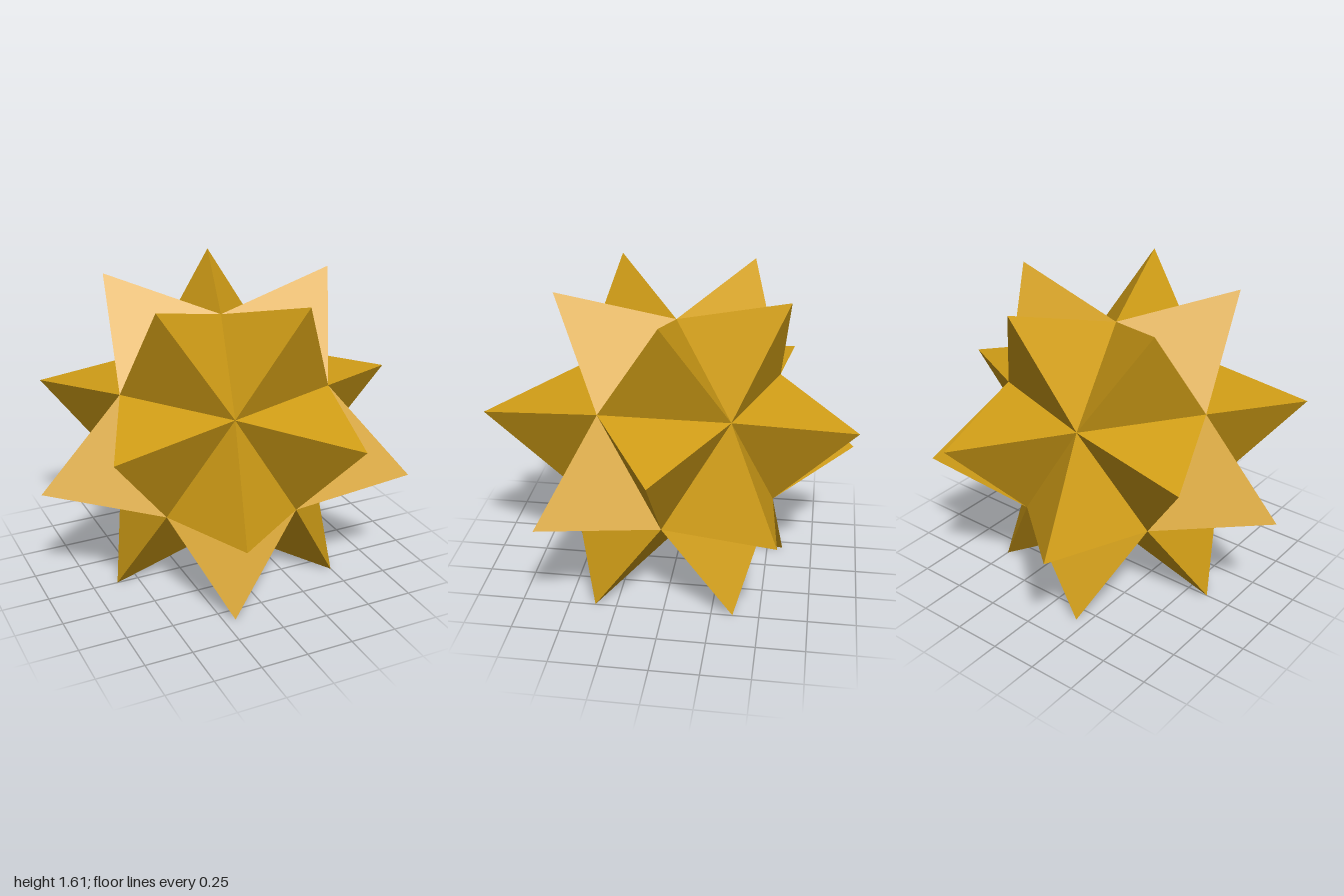
import * as THREE from 'three';

const CENTRE_Y = 0.807;
const CORE_R = 0.626;   // radius of the twenty-faced core
const TIP_R = 1.015;    // distance of every spike tip from the centre

// Three-sided open pyramid standing on one core face
function spikeGeometry(a, b, c) {
  const tip = a.clone().add(b).add(c).setLength(TIP_R);
  const normal = b.clone().sub(a).cross(c.clone().sub(a));
  const base = normal.dot(tip) > 0 ? [a, b, c] : [a, c, b];
  const points = [];
  for (let i = 0; i < 3; i++) points.push(base[i], base[(i + 1) % 3], tip);
  const geometry = new THREE.BufferGeometry().setFromPoints(points);
  geometry.computeVertexNormals();
  return geometry;
}

export function createModel() {
  const model = new THREE.Group();
  model.name = 'spikedStar';
  const gold = new THREE.MeshStandardMaterial({ color: 0xd4a017, flatShading: true });

  // Core corners: two poles and two staggered rings of five
  const ringY = CORE_R / Math.sqrt(5);
  const ringR = 2 * ringY;
  const corner = (step, y) => {
    const angle = step * Math.PI / 5;
    return new THREE.Vector3(ringR * Math.cos(angle), y, ringR * Math.sin(angle));
  };
  const upper = (i) => corner(2 * i + 1, ringY);
  const lower = (i) => corner(2 * i, -ringY);
  const top = new THREE.Vector3(0, CORE_R, 0);
  const bottom = new THREE.Vector3(0, -CORE_R, 0);

  const addSpike = (name, a, b, c) => {
    const spike = new THREE.Mesh(spikeGeometry(a, b, c), gold);
    spike.name = name;
    spike.position.y = CENTRE_Y;
    model.add(spike);
  };

  // Four tiers of five spikes
  for (let i = 0; i < 5; i++) {
    addSpike('topSpike', top, upper(i), upper(i + 1));
    addSpike('upperSpike', upper(i), upper(i + 1), lower(i + 1));
    addSpike('lowerSpike', lower(i), lower(i + 1), upper(i));
    addSpike('bottomSpike', bottom, lower(i), lower(i + 1));
  }
  return model;
}
